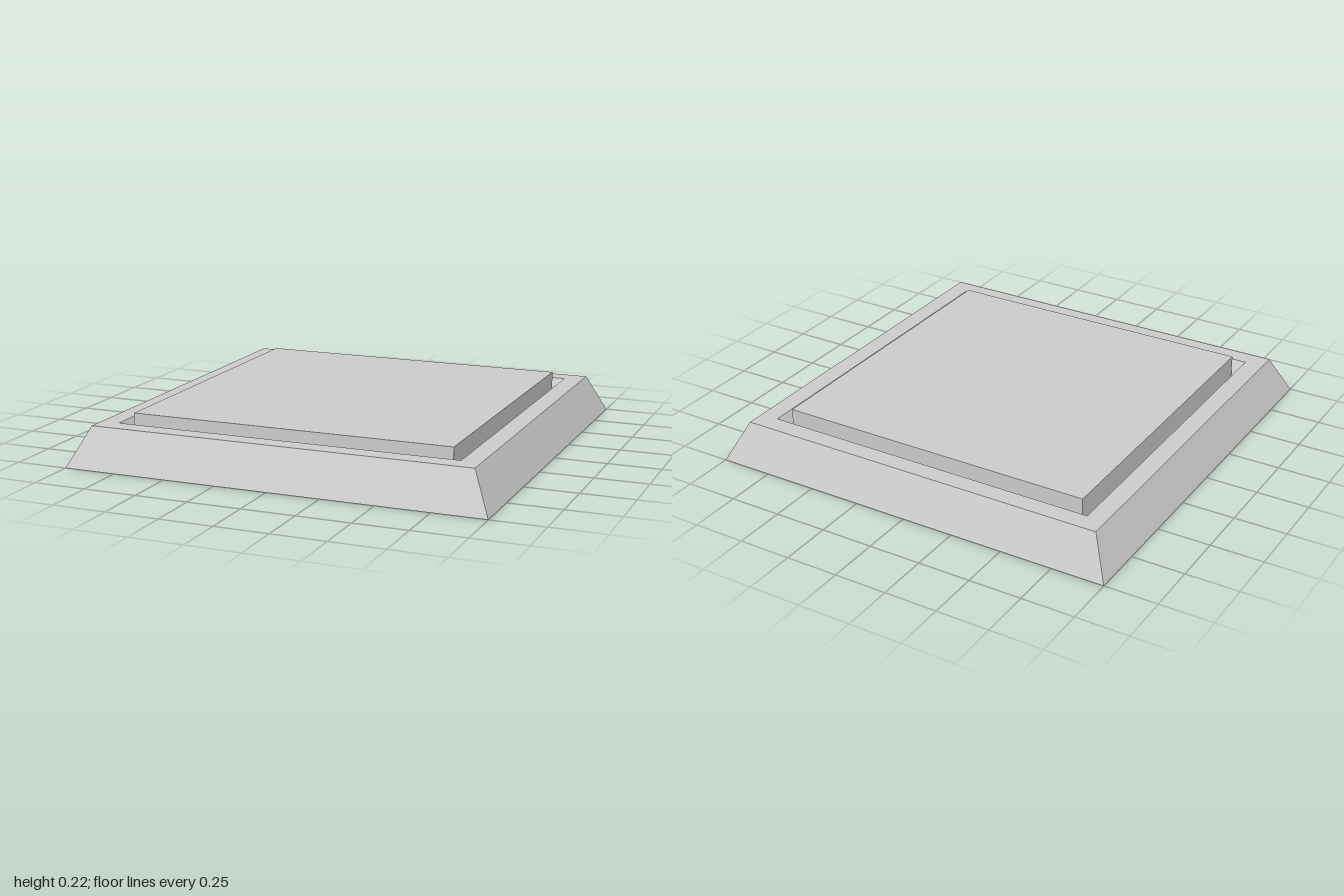
import * as THREE from 'three';

// Thin four-sided shell from a profile of [half width, height] points
function squareShell(name, profile) {
  const points = profile.map(([r, y]) => new THREE.Vector2(r * Math.SQRT2, y));
  const geometry = new THREE.LatheGeometry(points, 4, Math.PI / 4);
  const material = new THREE.MeshStandardMaterial({
    color: 0xcccccc, flatShading: true, side: THREE.DoubleSide,
  });
  const mesh = new THREE.Mesh(geometry, material);
  mesh.name = name;
  return mesh;
}

export function createModel() {
  const group = new THREE.Group();
  group.name = 'floorButton';

  // Sloped outer wall, flat rim and the groove wall leaning inward; open below
  group.add(squareShell('frame', [[1, 0], [0.91, 0.185], [0.82, 0.185], [0.77, 0.1]]));

  // Raised square plate with a skirt reaching below the groove; open below
  group.add(squareShell('plate', [[0.77, 0.056], [0.77, 0.225], [0, 0.225]]));

  return group;
}
